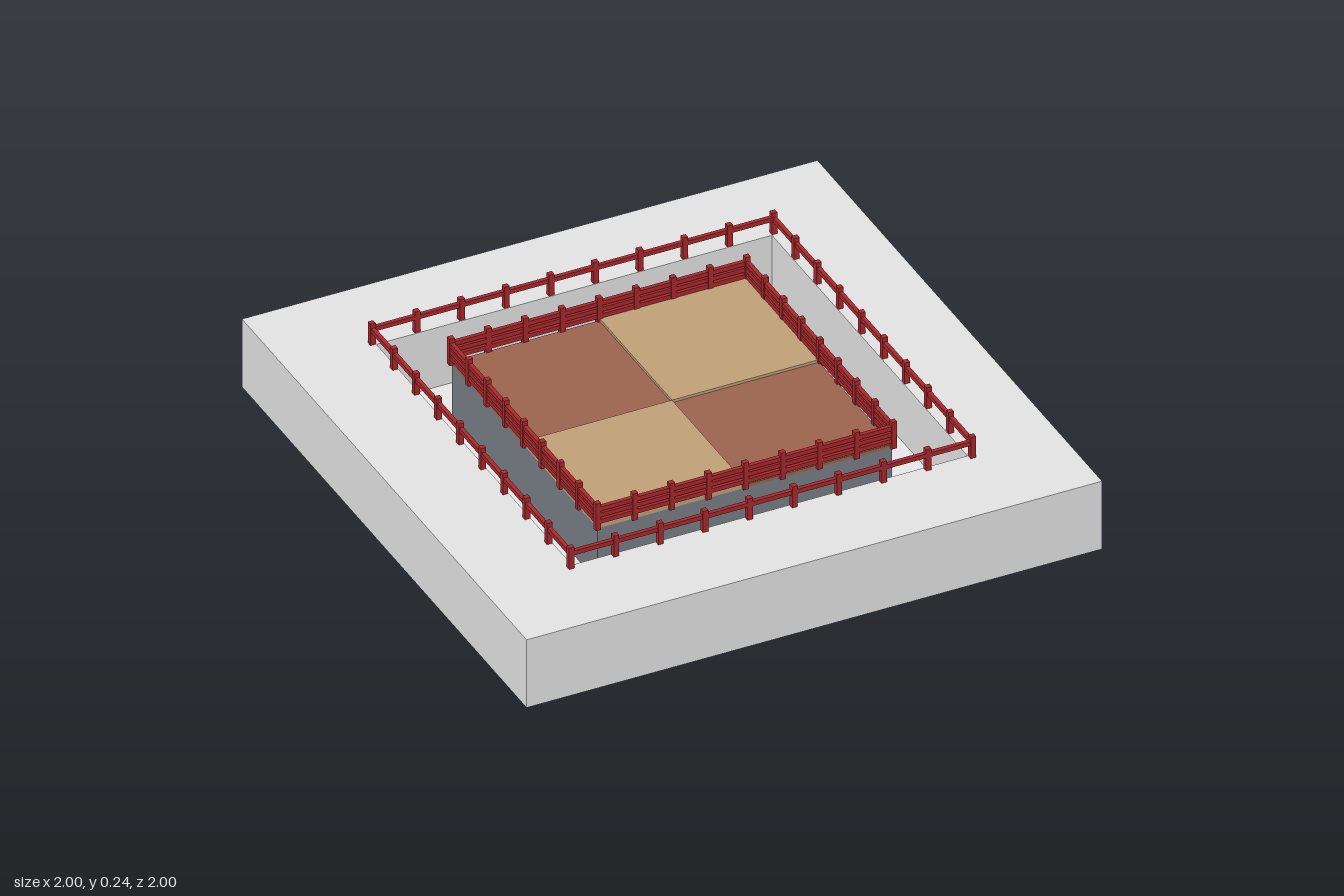
import * as THREE from 'three';

const material = (name, color, side = THREE.FrontSide) => {
  const m = new THREE.MeshStandardMaterial({ color, side });
  m.name = name;
  return m;
};

export function createModel() {
  const concrete = material('concrete', 0xe3e3e3, THREE.DoubleSide);
  const paleFloor = material('pale floor', 0xf3f3f3);
  const slate = material('slate wall', 0x777d85);
  const brown = material('brown tile', 0x9c644e);
  const tan = material('tan tile', 0xc0a078);
  const red = material('red railing', 0xa8282b);

  const model = new THREE.Group();
  model.name = 'courtyardPlatform';
  const plan = new THREE.Group();
  plan.name = 'squarePlan';
  plan.rotation.y = Math.PI / 4;
  model.add(plan);

  const add = (parent, name, geometry, mat, x = 0, y = 0, z = 0) => {
    const mesh = new THREE.Mesh(geometry, mat);
    mesh.name = name;
    mesh.position.set(x, y, z);
    parent.add(mesh);
    return mesh;
  };

  const TOP = 0.18, FLOOR = 0.02;
  const OUTER = Math.SQRT1_2, PIT = 0.486, CORE = 0.362;

  // Four thin walls round a square, facing outward or inward
  const wallRing = (name, half, y0, y1, inward) => {
    for (let i = 0; i < 4; i++) {
      const g = new THREE.PlaneGeometry(half * 2, y1 - y0);
      if (inward) g.rotateY(Math.PI);
      g.translate(0, (y0 + y1) / 2, half);
      g.rotateY(i * Math.PI / 2);
      add(plan, name, g, concrete);
    }
  };
  wallRing('outerWall', OUTER, 0, TOP, false);
  wallRing('pitWall', PIT, FLOOR, TOP, true);

  // Deck with a square opening, hollow underneath
  const square = (path, h) => path.moveTo(-h, -h).lineTo(h, -h).lineTo(h, h).lineTo(-h, h).closePath();
  const deckShape = square(new THREE.Shape(), OUTER);
  deckShape.holes.push(square(new THREE.Path(), PIT));
  add(plan, 'deck', new THREE.ShapeGeometry(deckShape).rotateX(-Math.PI / 2), concrete, 0, TOP);

  // Pit bottom with a pale floor laid on it
  const pitPlane = new THREE.PlaneGeometry(PIT * 2, PIT * 2).rotateX(-Math.PI / 2);
  add(plan, 'pitBottom', pitPlane, concrete, 0, FLOOR);
  add(plan, 'pitFloor', pitPlane, paleFloor, 0, FLOOR + 0.003);

  // Central block topped by four tiles, the tan pair slightly higher
  const coreTop = 0.165, coreBase = FLOOR + 0.004;
  add(plan, 'platformBlock', new THREE.BoxGeometry(CORE * 2, coreTop - coreBase, CORE * 2), slate,
    0, (coreTop + coreBase) / 2);
  for (const sx of [-1, 1]) for (const sz of [-1, 1]) {
    const isBrown = sx * sz > 0;
    const h = isBrown ? 0.008 : 0.015;
    add(plan, isBrown ? 'brownTile' : 'tanTile', new THREE.BoxGeometry(CORE, h, CORE),
      isBrown ? brown : tan, sx * CORE / 2, coreTop + h / 2, sz * CORE / 2);
  }

  // Square fence: posts and horizontal rails on each side
  const fence = (name, half, spans, y0, y1, railHeights) => {
    const group = new THREE.Group();
    group.name = name;
    plan.add(group);
    const post = new THREE.BoxGeometry(0.013, y1 - y0, 0.013);
    const rail = new THREE.BoxGeometry(half * 2, 0.011, 0.01);
    for (let i = 0; i < 4; i++) {
      const side = new THREE.Group();
      side.name = 'fenceSide';
      side.rotation.y = i * Math.PI / 2;
      group.add(side);
      for (let k = 0; k < spans; k++) {
        add(side, 'post', post, red, -half + 2 * half * k / spans, (y0 + y1) / 2, half);
      }
      for (const y of railHeights) add(side, 'rail', rail, red, 0, y, half);
    }
  };
  fence('outerFence', 0.4935, 9, 0.176, 0.236, [0.219]);
  fence('innerFence', 0.3635, 8, 0.165, 0.236, [0.186, 0.203, 0.219]);

  return model;
}
